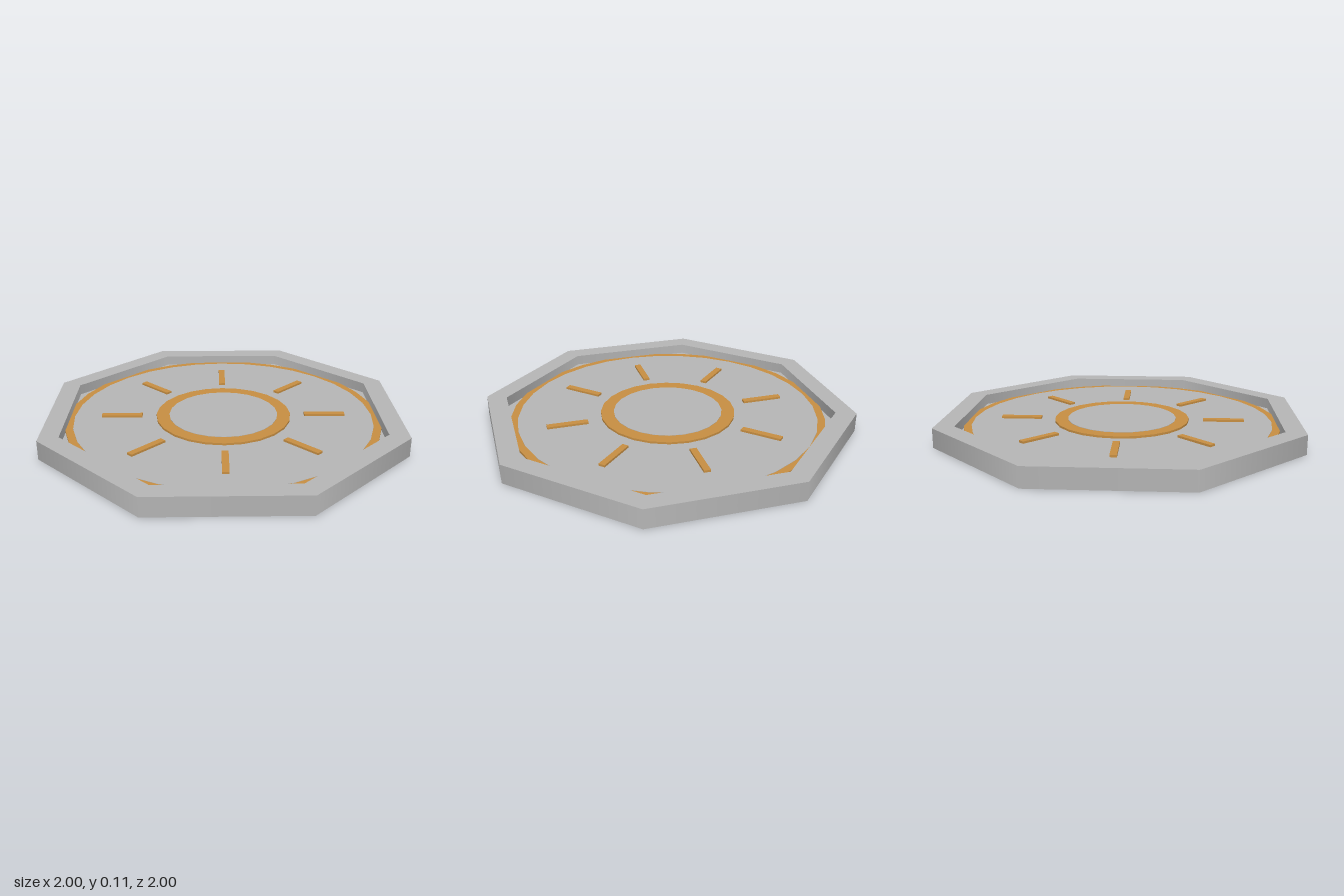
import * as THREE from 'three';
import { mergeGeometries } from 'three/addons/utils/BufferGeometryUtils.js';

export function createModel() {
  const group = new THREE.Group();
  const grey = new THREE.MeshStandardMaterial({ color: 0xb5b5b5 });
  grey.name = 'stone grey';
  const gold = new THREE.MeshStandardMaterial({ color: 0xc68e42 });
  gold.name = 'warm gold';

  const add = (name, geometry, material) => {
    const mesh = new THREE.Mesh(geometry, material);
    mesh.name = name;
    group.add(mesh);
    return mesh;
  };

  // Octagonal tray: each profile segment is its own lathe, so the rims stay crisp
  const k = 1 / Math.cos(Math.PI / 8); // flat-to-corner ratio
  const height = 0.11, floor = 0.05;
  const profile = [[0, 0], [k, 0], [k, height], [0.89 * k, height], [0.89 * k, floor], [0, floor]]
    .map(([x, y]) => new THREE.Vector2(x, y));
  const bands = [];
  for (let i = 0; i < profile.length - 1; i++) {
    bands.push(new THREE.LatheGeometry([profile[i], profile[i + 1]], 8, Math.PI / 8));
  }
  add('octagonalTray', mergeGeometries(bands), grey);

  // Stacked discs, each resting on the one below
  const disc = (name, radius, bottom, top, sides, material) => {
    const geometry = new THREE.CylinderGeometry(radius, radius, top - bottom, sides);
    geometry.translate(0, (top + bottom) / 2, 0);
    add(name, geometry, material);
  };
  disc('outerRing', 0.91, 0.045, 0.062, 32, gold);
  disc('dialFace', 0.866, 0.055, 0.064, 32, grey);
  disc('innerRing', 0.39, 0.06, 0.076, 24, gold);
  disc('centreFace', 0.315, 0.07, 0.078, 24, grey);

  // Eight radial marks
  const mark = new THREE.BoxGeometry(0.038, 0.016, 0.235);
  mark.translate(0, 0.068, 0.59);
  for (let i = 0; i < 8; i++) {
    add('radialMark' + (i + 1), mark, gold).rotation.y = i * Math.PI / 4;
  }
  return group;
}
